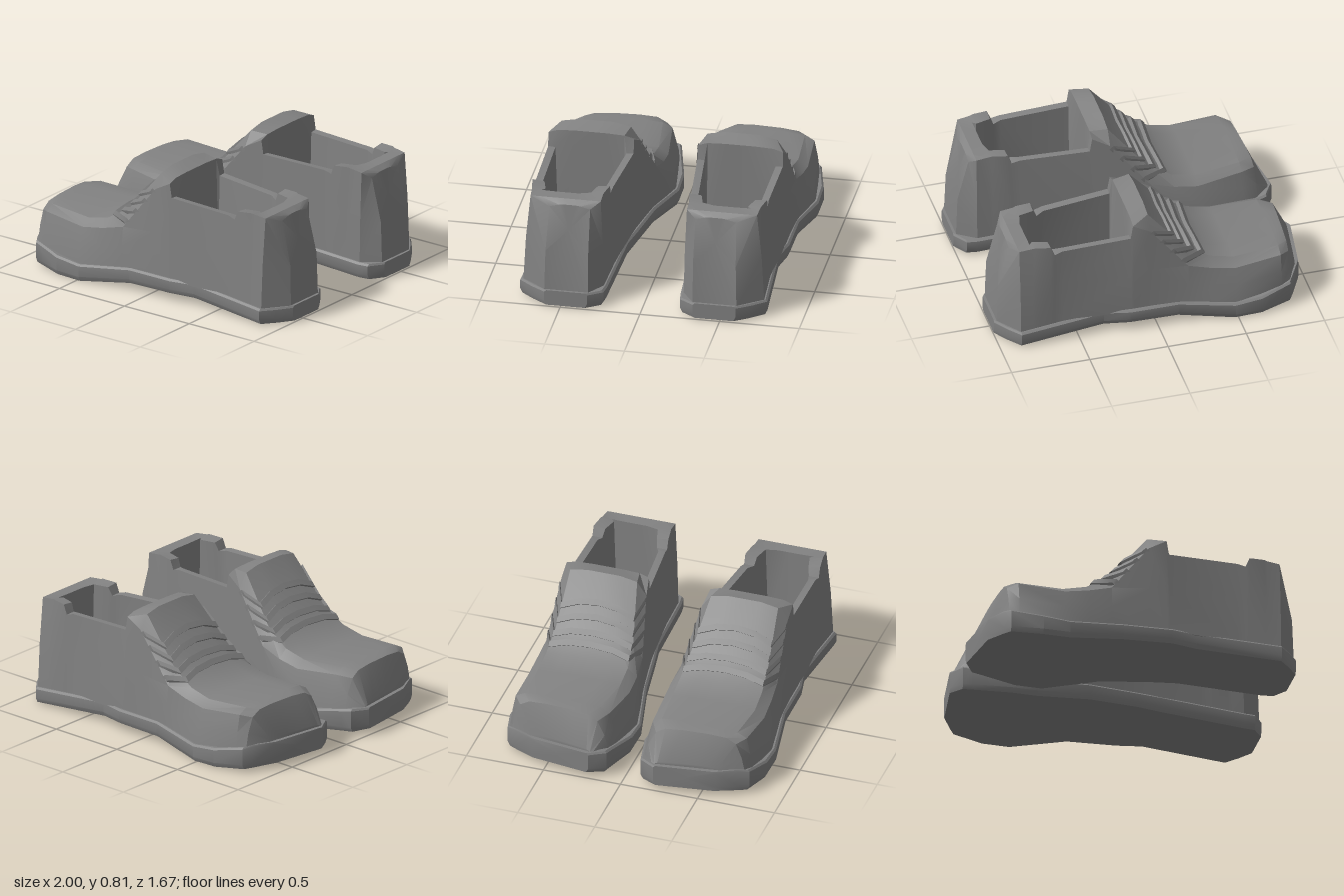
import * as THREE from 'three';
import { toCreasedNormals } from 'three/addons/utils/BufferGeometryUtils.js';

// Sole stations, toe to heel: x, inner z, outer z, bottom y, top y
const SOLE = [
  [-1, .21, .60, .04, .18],
  [-.93, .11, .73, .03, .18],
  [-.87, .095, .785, .025, .17],
  [-.65, .04, .835, .005, .13],
  [-.48, .04, .835, 0, .11],
  [-.13, .12, .78, .05, .15],
  [.18, .17, .78, .055, .15],
  [.34, .20, .745, .05, .15],
  [.87, .23, .775, .01, .11],
  [.94, .24, .69, .01, .11],
  [1, .33, .60, .01, .11],
];

// Upper stations, toe to heel: x, rim inner z, rim outer z, rim y, top y
const UPPER = [
  [-.975, .23, .60, .19, .20],
  [-.88, .19, .70, .35, .395],
  [-.79, .14, .75, .365, .405],
  [-.5, .11, .765, .335, .39],
  [-.35, .11, .76, .36, .425],
  [-.2, .125, .75, .40, .525],
  [.04, .18, .735, .70, .81],
  [.15, .20, .735, .76, .785],
  [.165, .20, .735, .67, .665],
  [.6, .245, .73, .655, .65],
  [.65, .25, .735, .64, .64],
  [.675, .25, .735, .70, .69],
  [.77, .265, .72, .705, .69],
  [.79, .27, .715, .70, .69],
  [.87, .27, .71, .69, .69],
  [.985, .33, .585, .645, .665],
];

const { lerp, clamp } = THREE.MathUtils;

// Linear interpolation of a station table at x
function sample(table, x) {
  let i = 1;
  while (i < table.length - 1 && table[i][0] < x) i++;
  const a = table[i - 1], b = table[i];
  const t = clamp((x - a[0]) / (b[0] - a[0]), 0, 1);
  return a.map((v, k) => lerp(v, b[k], t));
}

// The toe end is cut at a slant: x moves back towards the outer side
function slant(x, z) {
  return x + (z - .2) * .14 * clamp((-.82 - x) / .15, 0, 1);
}

// Closed rings of [x, y, z] joined and capped; side -1 mirrors across z
function loft(rings, side) {
  const n = rings[0].length, pos = [], index = [];
  const face = (a, b, c) => (side > 0 ? index.push(a, b, c) : index.push(a, c, b));
  const put = p => pos.push(p[0], p[1], p[2] * side);
  rings.forEach(r => r.forEach(put));
  for (let i = 0; i < rings.length - 1; i++) {
    for (let j = 0; j < n; j++) {
      const a = i * n + j, b = i * n + (j + 1) % n;
      face(a, b, b + n);
      face(a, b + n, a + n);
    }
  }
  [0, rings.length - 1].forEach((i, end) => {
    const centre = pos.length / 3;
    put([0, 1, 2].map(k => rings[i].reduce((s, p) => s + p[k], 0) / n));
    for (let j = 0; j < n; j++) {
      const a = i * n + j, b = i * n + (j + 1) % n;
      if (end) face(centre, a, b);
      else face(centre, b, a);
    }
  });
  const g = new THREE.BufferGeometry();
  g.setAttribute('position', new THREE.Float32BufferAttribute(pos, 3));
  g.setIndex(index);
  return toCreasedNormals(g, 0.5);
}

// Sole cross-section with a chamfered top lip
function soleSection([x, zi, zo, yb, yt]) {
  const half = [[.015, yb], [0, yb + .03], [0, yt - .012], [.012, yt]];
  const inner = half.map(([d, y]) => [slant(x, zi + d), y, zi + d]);
  const outer = half.map(([d, y]) => [slant(x, zo - d), y, zo - d]);
  return [...inner, ...outer.reverse()];
}

// Upper cross-section: base, mid wall, rim, inset, deep inset, top centre, mirrored
function upperSection([x, ri, ro, ry, yt]) {
  const [, si, so, , st] = sample(SOLE, x);
  const open = x > .16 && x < .78; // the collar opening drops to the insole
  const lean = -.08 * clamp((x - .87) / .115, 0, 1); // the heel leans forward
  const yb = st - .01, ym = lerp(yb, ry, .5), y3 = lerp(ry, yt, .8), y4 = open ? .2 : yt;
  // the collar wall thickens around the heel
  const d3 = open ? .045 + .04 * clamp((x - .6) / .1, 0, 1) : .06;
  const d4 = open ? d3 + .015 : Math.min(.17, (ro - ri) * .35);
  const at = (z, y, l) => [slant(x, z) + lean * l, y, z];
  const half = (base, rim, s) => [
    at(base, yb, 0), at(lerp(base, rim, .35), ym, .12), at(rim, ry, 1),
    at(rim + s * d3, y3, 1), at(rim + s * d4, y4, 1),
  ];
  return [
    ...half(si + .02, ri, 1),
    at((ri + ro) / 2, y4, 1),
    ...half(so - .02, ro, -1).reverse(),
  ];
}

// Flat lace lying over the throat, its ends swept back down the sides
function laceRings(x) {
  const along = [.65, .76], out = [-.76, .65];
  return [.10, -.025, -.01, 0, -.01, -.025, .10].map((dx, k) => {
    const p = upperSection(sample(UPPER, x + dx))[k + 2];
    return [[-1, -1], [1, -1], [1, 1], [-1, 1]].map(([u, v]) => [
      p[0] + along[0] * u * .019 + out[0] * v * .018,
      p[1] + along[1] * u * .019 + out[1] * v * .018,
      p[2],
    ]);
  });
}

export function createModel() {
  const model = new THREE.Group();
  model.name = 'pairOfShoes';
  const material = new THREE.MeshStandardMaterial({ color: 0x828282 });

  for (const side of [1, -1]) {
    const shoe = new THREE.Group();
    shoe.name = side > 0 ? 'frontShoe' : 'rearShoe';
    const add = (name, rings) => {
      const mesh = new THREE.Mesh(loft(rings, side), material);
      mesh.name = name;
      shoe.add(mesh);
    };
    add('sole', SOLE.map(soleSection));
    add('upper', UPPER.map(upperSection));
    [-.27, -.205, -.14, -.08].forEach((x, i) => add('lace' + (i + 1), laceRings(x)));
    model.add(shoe);
  }
  return model;
}
